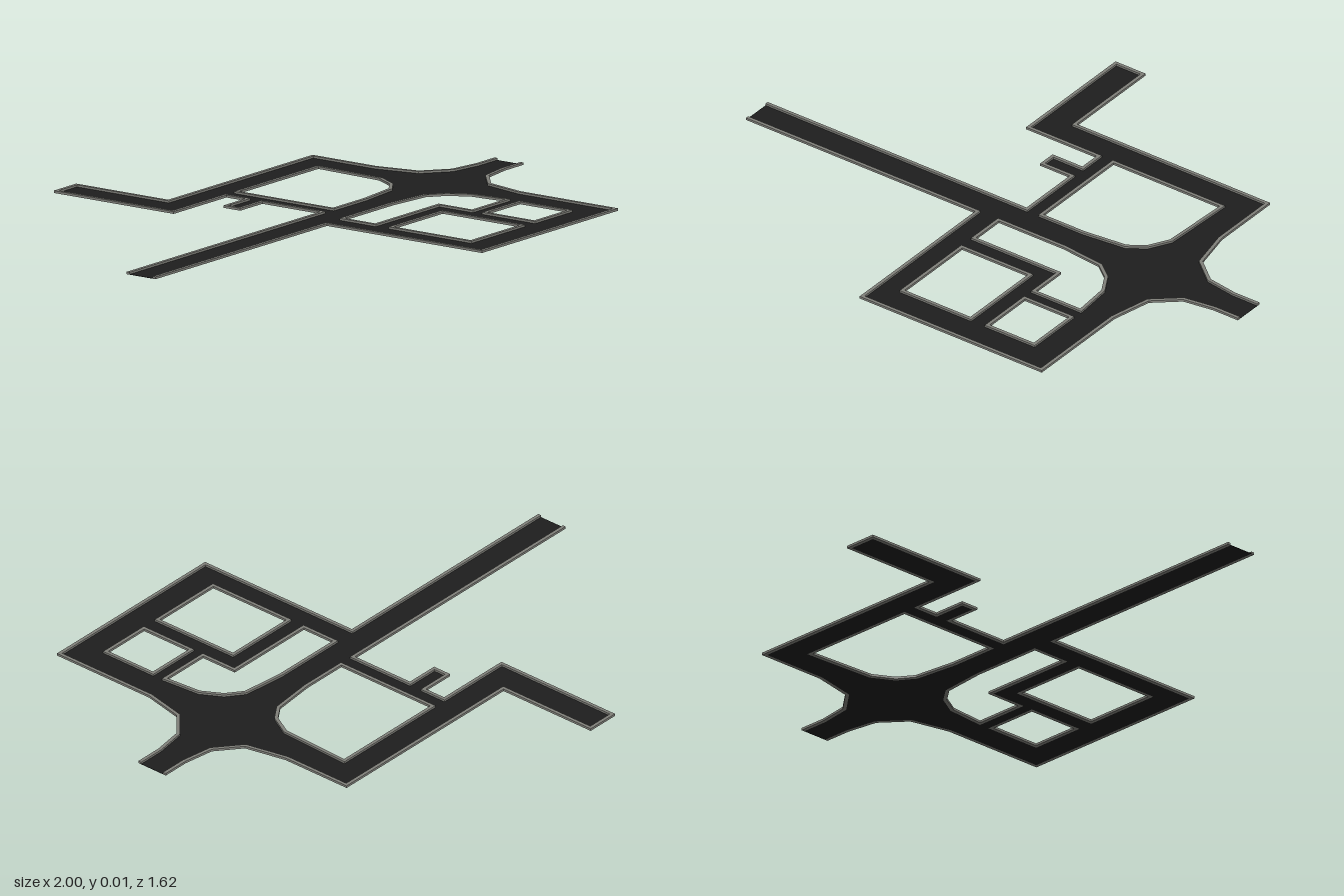
import * as THREE from 'three';

const SLAB = 0.001, KERB_H = 0.008, KERB_W = 0.012;

// Plan outlines as [x, z], clockwise seen from above
const northEdge = [
  [-1, 0.06], [0.053, 0.06], [0.053, -0.176], [-0.068, -0.176], [-0.068, -0.245],
  [0.053, -0.245], [0.053, -0.323], [-0.234, -0.323], [-0.234, -0.812], [-0.112, -0.812],
  [-0.112, -0.437], [0.673, -0.437], [0.673, -0.175], [0.705, -0.027], [0.79, 0.043],
  [0.9, 0.06], [1, 0.06],
];
const southEdge = [
  [1, 0.178], [0.9, 0.178], [0.79, 0.195], [0.705, 0.268], [0.673, 0.413],
  [0.673, 0.81], [-0.068, 0.81], [-0.068, 0.178], [-1, 0.178],
];
const rect = (x0, z0, x1, z1) => [[x0, z0], [x1, z0], [x1, z1], [x0, z1]];
const blocks = [
  [[0.122, 0.06], [0.122, -0.323], [0.553, -0.323], [0.542, -0.067], [0.502, 0.005], [0.447, 0.043], [0.29, 0.06]],
  [[0.028, 0.178], [0.29, 0.178], [0.447, 0.195], [0.502, 0.238], [0.542, 0.308], [0.553, 0.438],
    [0.374, 0.438], [0.374, 0.302], [0.028, 0.302]],
  rect(0.028, 0.378, 0.295, 0.692),
  rect(0.374, 0.5, 0.553, 0.692),
];

const toVectors = (pts) => pts.map(([x, z]) => new THREE.Vector2(x, -z));

// Mitred offset of a plan line, to the right of its direction of travel
function offset(pts, width, closed) {
  const n = pts.length;
  const normal = (i, j) => {
    const dx = pts[j][0] - pts[i][0], dz = pts[j][1] - pts[i][1], l = Math.hypot(dx, dz);
    return [-dz / l, dx / l];
  };
  return pts.map(([x, z], i) => {
    const hasPrev = closed || i > 0, hasNext = closed || i < n - 1;
    const b = hasNext ? normal(i, (i + 1) % n) : normal(i - 1, i);
    const a = hasPrev ? normal((i + n - 1) % n, i) : b;
    const k = width / (1 + a[0] * b[0] + a[1] * b[1]);
    return [x + (a[0] + b[0]) * k, z + (a[1] + b[1]) * k];
  });
}

// Plan shape raised from the ground to a flat slab
function slab(name, shape, height, material) {
  const geo = new THREE.ExtrudeGeometry(shape, { depth: height, bevelEnabled: false });
  geo.rotateX(-Math.PI / 2);
  const mesh = new THREE.Mesh(geo, material);
  mesh.name = name;
  return mesh;
}

export function createModel() {
  const model = new THREE.Group();
  model.name = 'roadNetwork';
  const asphalt = new THREE.MeshStandardMaterial({ color: 0x1e1e1e, side: THREE.DoubleSide });
  const concrete = new THREE.MeshStandardMaterial({ color: 0x80807a, side: THREE.DoubleSide });
  const kerbs = new THREE.Group();
  kerbs.name = 'kerbs';

  // Outer kerbs, left open at the two ends of the main road
  const roadOutline = [];
  for (const line of [northEdge, southEdge]) {
    const inner = offset(line, KERB_W, false);
    roadOutline.push(...inner);
    const shape = new THREE.Shape(toVectors([...line, ...inner.slice().reverse()]));
    kerbs.add(slab('outerKerb', shape, KERB_H, concrete));
  }
  const road = new THREE.Shape(toVectors(roadOutline));

  // Kerb ring around each block, cut out of the road
  for (const b of blocks) {
    const rim = toVectors(offset(b, -KERB_W, true));
    road.holes.push(new THREE.Path(rim));
    const ring = new THREE.Shape(rim);
    ring.holes.push(new THREE.Path(toVectors(b)));
    kerbs.add(slab('blockKerb', ring, KERB_H, concrete));
  }
  model.add(kerbs, slab('roadSurface', road, SLAB, asphalt));
  return model;
}
